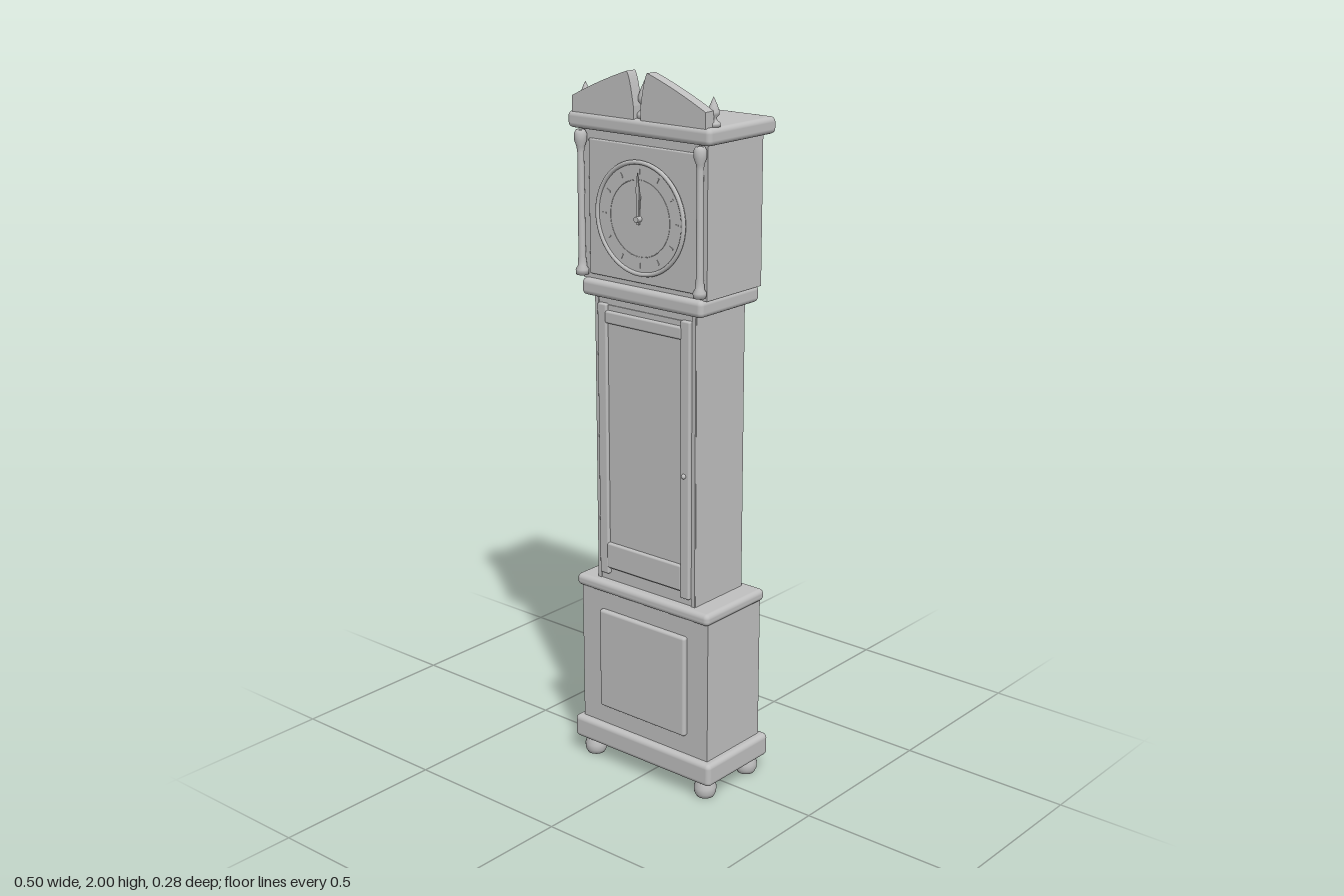
import * as THREE from 'three';
import { RoundedBoxGeometry } from 'three/addons/geometries/RoundedBoxGeometry.js';

export function createModel() {
  const clock = new THREE.Group();
  clock.name = 'longcaseClock';
  const grey = new THREE.MeshStandardMaterial({ color: 0xbfbfbf });
  grey.name = 'paleGrey';

  const add = (name, geometry, x = 0, y = 0, z = 0) => {
    const mesh = new THREE.Mesh(geometry, grey);
    mesh.name = name;
    mesh.position.set(x, y, z);
    clock.add(mesh);
    return mesh;
  };
  // Box given by its limits; a radius rounds the edges
  const block = (name, x0, x1, y0, y1, z0, z1, r = 0) => {
    const size = [x1 - x0, y1 - y0, z1 - z0];
    const geo = r ? new RoundedBoxGeometry(...size, 3, r) : new THREE.BoxGeometry(...size);
    return add(name, geo, (x0 + x1) / 2, (y0 + y1) / 2, (z0 + z1) / 2);
  };
  const lathe = (name, points, x, y, z, segments = 24) =>
    add(name, new THREE.LatheGeometry(points.map(p => new THREE.Vector2(...p)), segments), x, y, z);

  // Feet
  const foot = [[0, 0], [0.025, 0], [0.031, 0.012], [0.032, 0.028], [0.027, 0.042], [0.024, 0.055]];
  for (const x of [-0.206, 0.206])
    for (const z of [-0.094, 0.091]) lathe('foot', foot, x, 0, z);

  // Base
  block('plinth', -0.252, 0.252, 0.05, 0.118, -0.138, 0.133, 0.014);
  block('baseBox', -0.23, 0.23, 0.11, 0.54, -0.117, 0.113);
  block('basePanel', -0.157, 0.157, 0.175, 0.475, 0.1, 0.127, 0.008);
  block('baseMoulding', -0.24, 0.24, 0.53, 0.565, -0.127, 0.129, 0.014);

  // Trunk with framed door
  block('trunk', -0.177, 0.177, 0.56, 1.39, -0.1, 0.102);
  for (const s of [-1, 1]) {
    block('doorStile', s * 0.146 - 0.016, s * 0.146 + 0.016, 0.585, 1.368, 0.098, 0.114, 0.005);
    block('trunkCorner', s * 0.17 - 0.006, s * 0.17 + 0.006, 0.565, 1.385, 0.098, 0.105);
  }
  block('doorTopRail', -0.135, 0.135, 1.315, 1.35, 0.098, 0.115, 0.006);
  block('doorBottomRail', -0.135, 0.135, 0.605, 0.68, 0.098, 0.115, 0.006);
  block('doorGlass', -0.132, 0.132, 0.6, 1.365, 0.1, 0.105);
  add('doorKnob', new THREE.SphereGeometry(0.007, 12, 8), 0.145, 0.94, 0.116);

  // Hood
  block('waistMoulding', -0.21, 0.21, 1.385, 1.432, -0.123, 0.125, 0.014);
  block('hood', -0.215, 0.215, 1.43, 1.84, -0.12, 0.107);
  block('hoodDoor', -0.186, 0.186, 1.445, 1.81, 0.1, 0.114, 0.004);
  block('cornice', -0.243, 0.243, 1.835, 1.88, -0.143, 0.135, 0.014);

  // Corner columns
  const column = [[0, 0], [0.017, 0], [0.018, 0.014], [0.012, 0.024], [0.012, 0.036], [0.01, 0.05],
    [0.009, 0.33], [0.011, 0.345], [0.017, 0.362], [0.017, 0.38], [0.012, 0.39], [0, 0.39]];
  for (const x of [-0.204, 0.204]) lathe('hoodColumn', column, x, 1.442, 0.124);

  // Dial with bezel, chapter ring and hour marks
  const dialY = 1.62;
  add('dial', new THREE.CylinderGeometry(0.15, 0.15, 0.012, 64), 0, dialY, 0.116).rotation.x = Math.PI / 2;
  add('bezel', new THREE.TorusGeometry(0.148, 0.006, 10, 64), 0, dialY, 0.122);
  add('chapterRing', new THREE.TorusGeometry(0.102, 0.001, 6, 64), 0, dialY, 0.122);
  for (let i = 0; i < 12; i++) {
    const a = (i * Math.PI) / 6;
    const mark = add('hourMark', new THREE.BoxGeometry(0.004, 0.014, 0.002),
      Math.sin(a) * 0.124, dialY + Math.cos(a) * 0.124, 0.123);
    mark.rotation.z = -a;
  }

  // Hands, both pointing up, with leaf-shaped tips
  const hand = (name, length, width, z) => {
    const half = [[0.003, -0.015], [0.003, 0.01], [width, length * 0.66], [0.003, length * 0.8], [0.001, length]];
    const outline = [...half, ...half.map(([x, y]) => [-x, y]).reverse()];
    const shape = new THREE.Shape(outline.map(p => new THREE.Vector2(...p)));
    add(name, new THREE.ExtrudeGeometry(shape, { depth: 0.002, bevelEnabled: false }), 0, dialY, z);
  };
  hand('hourHand', 0.09, 0.007, 0.125);
  hand('minuteHand', 0.122, 0.006, 0.129);
  add('handHub', new THREE.CylinderGeometry(0.008, 0.008, 0.018, 16), 0, dialY, 0.129).rotation.x = Math.PI / 2;

  // Broken pediment, mirrored halves
  for (const s of [-1, 1]) {
    const shape = new THREE.Shape();
    shape.moveTo(s * 0.226, 1.878);
    shape.lineTo(s * 0.226, 1.92);
    shape.quadraticCurveTo(s * 0.13, 1.968, s * 0.035, 2);
    shape.quadraticCurveTo(s * 0.024, 1.99, s * 0.012, 1.912);
    shape.lineTo(s * 0.012, 1.878);
    shape.closePath();
    add('pedimentHalf', new THREE.ExtrudeGeometry(shape, { depth: 0.033, bevelEnabled: false, curveSegments: 10 }), 0, 0, 0.098);
  }

  // Finials
  const finial = [[0, 0], [1, 0], [1, 0.12], [0.55, 0.2], [0.45, 0.3], [0.8, 0.4], [0.85, 0.5],
    [0.6, 0.68], [0.25, 0.88], [0, 1]];
  const addFinial = (name, r, h, x, z) => lathe(name, finial.map(([a, b]) => [a * r, b * h]), x, 1.879, z);
  addFinial('centreFinial', 0.026, 0.106, 0, 0.094);
  for (const x of [-0.217, 0.217]) addFinial('sideFinial', 0.018, 0.075, x, 0.088);

  return clock;
}
